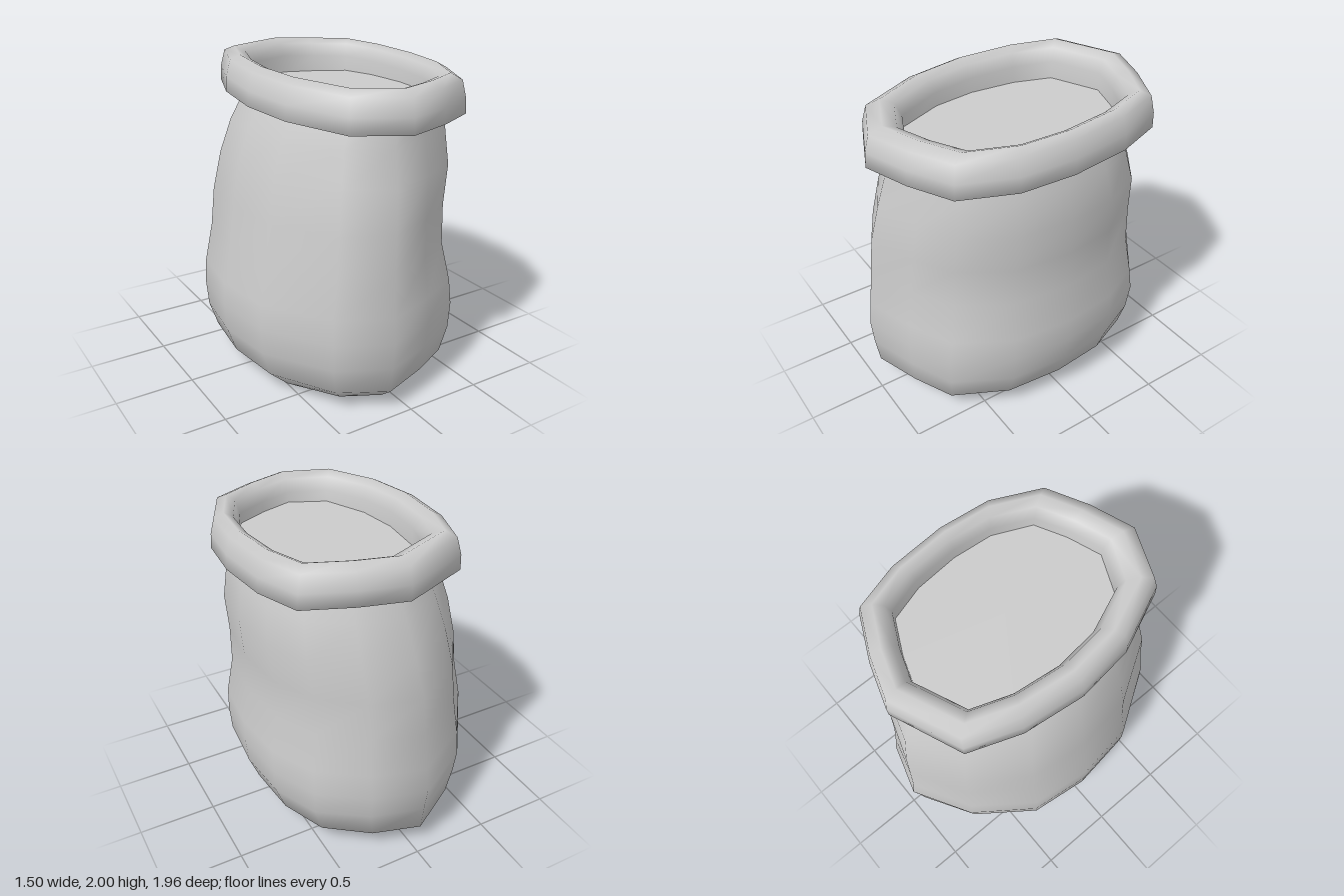
import * as THREE from 'three';
import { mergeVertices } from 'three/addons/utils/BufferGeometryUtils.js';

// Irregular oval cross-sections, as [x, z] in unit size
const BODY_OUTLINE = [
  [1, 0], [0.95, 0.4], [0.69, 0.76], [0.3, 0.89], [-0.15, 1], [-0.58, 0.83], [-0.93, 0.41],
  [-1, 0], [-0.93, -0.41], [-0.57, -0.78], [-0.07, -1], [0.38, -0.9], [0.77, -0.69], [0.95, -0.38],
];
const RIM_OUTLINE = [
  [1, 0], [0.95, 0.38], [0.72, 0.74], [0.3, 0.89], [-0.16, 1], [-0.67, 0.84], [-0.93, 0.41],
  [-1, 0], [-0.93, -0.44], [-0.75, -0.8], [-0.07, -1], [0.36, -0.9], [0.8, -0.75], [0.95, -0.42],
];

// Skin rings given as [y, xMin, xMax, zMin, zMax]; warp adjusts each point
function loft(name, outline, rings, warp) {
  const n = outline.length, positions = [], index = [];
  for (const [y, x0, x1, z0, z1] of rings) {
    for (const [u, w] of outline) {
      const p = new THREE.Vector3((x0 + x1) / 2 + u * (x1 - x0) / 2, y, (z0 + z1) / 2 + w * (z1 - z0) / 2);
      warp(p, u, w);
      positions.push(p.x, p.y, p.z);
    }
  }
  for (let i = 0; i < rings.length - 1; i++) {
    for (let j = 0; j < n; j++) {
      const a = i * n + j, b = i * n + (j + 1) % n;
      index.push(a, a + n, b, b, a + n, b + n);
    }
  }
  let geometry = new THREE.BufferGeometry();
  geometry.setAttribute('position', new THREE.Float32BufferAttribute(positions, 3));
  geometry.setIndex(index);
  geometry = mergeVertices(geometry);
  geometry.computeVertexNormals();
  const mesh = new THREE.Mesh(geometry, new THREE.MeshStandardMaterial({ color: 0xcccccc, side: THREE.DoubleSide }));
  mesh.name = name;
  return mesh;
}

export function createModel() {
  const group = new THREE.Group();
  group.name = 'openSack';

  // Sagging cloth body with a closed base and soft dents at two corners
  const body = [
    [0.03, 0, 0, 0, 0],
    [0.02, -0.54, 0.5, -0.72, 0.83],
    [0.13, -0.68, 0.65, -0.93, 0.94],
    [0.3, -0.74, 0.715, -0.95, 0.965],
    [0.47, -0.75, 0.73, -0.98, 0.98],
    [0.63, -0.745, 0.73, -0.955, 0.965],
    [0.88, -0.69, 0.69, -0.935, 0.94],
    [1.13, -0.665, 0.69, -0.915, 0.92],
    [1.38, -0.615, 0.705, -0.86, 0.87],
    [1.6, -0.55, 0.67, -0.77, 0.81],
    [1.76, -0.47, 0.62, -0.71, 0.79],
  ];
  group.add(loft('sackBody', BODY_OUTLINE, body, (p, u, w) => {
    const front = Math.exp(-((u - 0.7) ** 2 + (w - 0.75) ** 2) * 6);
    const back = Math.exp(-((u - 0.77) ** 2 + (w + 0.69) ** 2) * 6);
    const dent = 1 - (0.06 * front + 0.04 * back) * Math.exp(-(((p.y - 1) / 0.35) ** 2));
    p.x *= dent;
    p.z *= dent;
    if (p.y < 0.025) p.y += 0.02 * w * w - 0.02 * (1 - w * w) * u * u;
  }));

  // Rolled collar, tilted up toward the back
  const rim = [
    [1.75, -0.44, 0.6, -0.7, 0.77],
    [1.725, -0.5, 0.69, -0.8, 0.87],
    [1.735, -0.55, 0.745, -0.865, 0.935],
    [1.83, -0.545, 0.74, -0.865, 0.93],
    [1.935, -0.515, 0.715, -0.845, 0.905],
    [1.968, -0.455, 0.66, -0.77, 0.82],
    [1.94, -0.39, 0.61, -0.7, 0.74],
    [1.86, -0.355, 0.585, -0.665, 0.7],
    [1.72, -0.35, 0.58, -0.66, 0.69],
  ];
  group.add(loft('rolledRim', RIM_OUTLINE, rim, (p) => {
    p.y -= 0.042 * p.z + 0.015 * (p.x - 0.1);
  }));

  // Level filling inside the mouth
  group.add(loft('fillingSurface', RIM_OUTLINE, [
    [0, -0.36, 0.59, -0.67, 0.7],
    [0, 0.115, 0.115, 0.015, 0.015],
  ], (p) => { p.y = 1.77 - 0.01 * p.z; }));

  return group;
}
